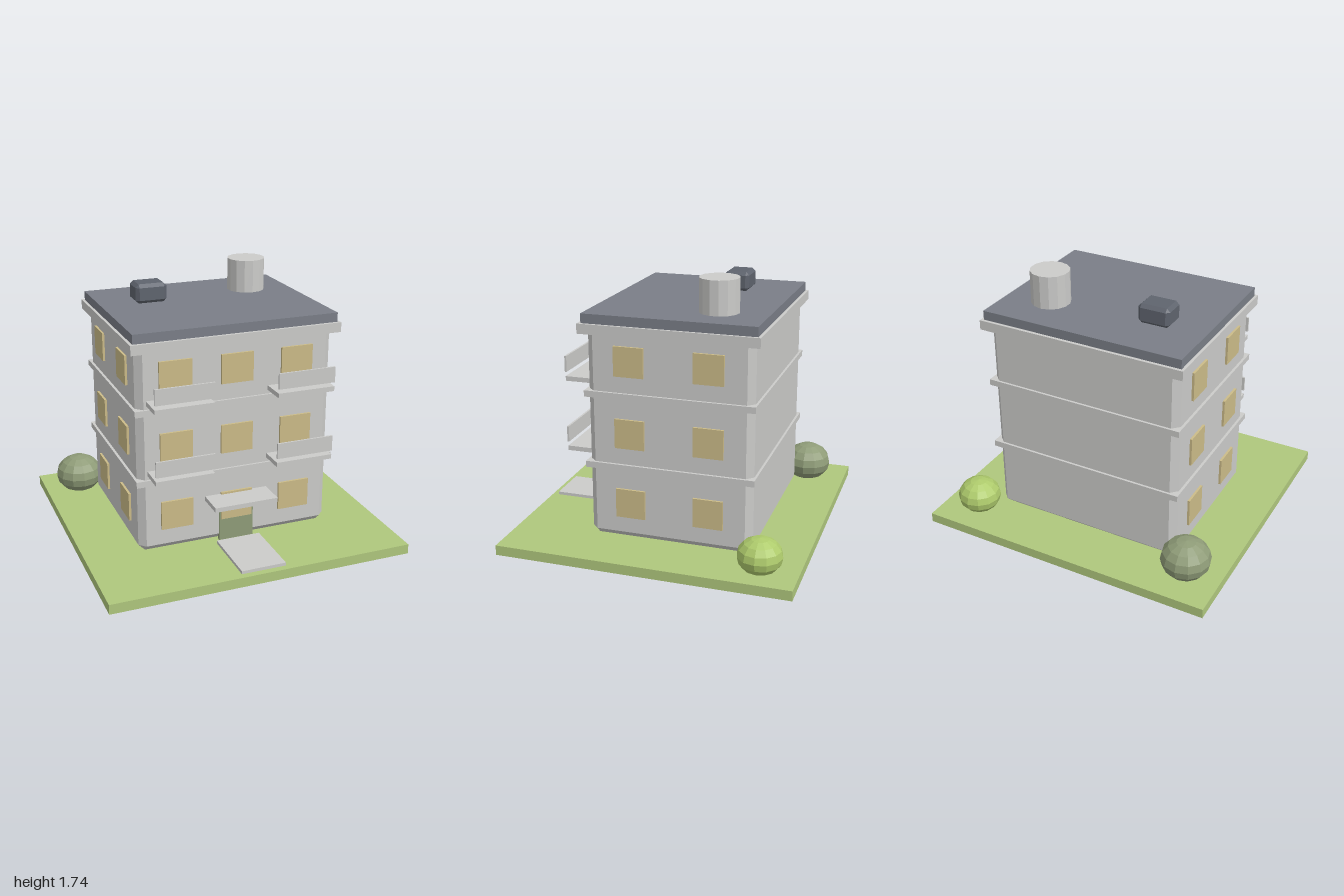
import * as THREE from 'three';
import { ConvexGeometry } from 'three/addons/geometries/ConvexGeometry.js';

const mat = (name, color) => {
  const m = new THREE.MeshStandardMaterial({ color, flatShading: true });
  m.name = name;
  return m;
};

// box with every edge cut at 45 degrees
function chamferBox(w, h, d, c) {
  const pts = [];
  const [x, y, z] = [w / 2, h / 2, d / 2];
  for (const i of [-1, 1]) for (const j of [-1, 1]) for (const k of [-1, 1]) {
    pts.push(new THREE.Vector3(i * x, j * (y - c), k * (z - c)));
    pts.push(new THREE.Vector3(i * (x - c), j * y, k * (z - c)));
    pts.push(new THREE.Vector3(i * (x - c), j * (y - c), k * z));
  }
  return new ConvexGeometry(pts);
}

export function createModel() {
  const wall = mat('concrete', 0xcbcbc9);
  const roofGrey = mat('roofGrey', 0x7a7e87);
  const ventGrey = mat('ventGrey', 0x5f646e);
  const glass = mat('windowTan', 0xcbbb88);
  const grass = mat('grass', 0xafc77d);
  const sage = mat('sage', 0x8f9c78);
  const lime = mat('lime', 0xaecb6c);

  const group = new THREE.Group();
  group.name = 'apartmentBlock';
  const add = (name, geo, m, x, y, z) => {
    const mesh = new THREE.Mesh(geo, m);
    mesh.name = name;
    mesh.position.set(x, y, z);
    group.add(mesh);
    return mesh;
  };
  // box given by its extents on each axis
  const box = (name, m, x0, x1, y0, y1, z0, z1) =>
    add(name, new THREE.BoxGeometry(x1 - x0, y1 - y0, z1 - z0), m,
      (x0 + x1) / 2, (y0 + y1) / 2, (z0 + z1) / 2);

  const cz = -0.085; // building centre in z
  const floor = 0.463; // storey height

  // ground and path
  box('lawn', grass, -1, 1, 0, 0.065, -0.95, 0.95);
  box('path', wall, -0.148, 0.148, 0.06, 0.085, 0.49, 0.908);

  // building body, floor bands, cornice and roof
  add('body', chamferBox(1.3, 1.39, 1.06, 0.043), wall, 0, 0.76, cz);
  for (const y of [0.53, 0.995])
    box('floorBand', wall, -0.667, 0.667, y, y + 0.04, cz - 0.545, cz + 0.545);
  box('cornice', wall, -0.69, 0.69, 1.397, 1.46, cz - 0.57, cz + 0.57);
  box('roof', roofGrey, -0.672, 0.672, 1.46, 1.52, cz - 0.55, cz + 0.55);

  // windows on the front and both sides
  for (let f = 0; f < 3; f++) {
    const y = 0.215 + f * floor;
    for (const x of [-0.403, 0, 0.403])
      box('frontWindow', glass, x - 0.106, x + 0.106, y, y + 0.19, 0.43, 0.46);
    for (const s of [-1, 1]) for (const z of [0.168, -0.337]) {
      const xs = [s * 0.635, s * 0.665].sort((a, b) => a - b);
      box('sideWindow', glass, xs[0], xs[1], y, y + 0.19, z - 0.096, z + 0.096);
    }
  }

  // entrance
  box('door', sage, -0.117, 0.117, 0.065, 0.342, 0.43, 0.455);
  box('canopy', wall, -0.212, 0.212, 0.362, 0.392, 0.43, 0.63);

  // balconies with separate front panels
  for (const s of [-1, 1]) for (let f = 0; f < 2; f++) {
    const x = s * 0.4, y = 0.597 + f * floor;
    box('balconySlab', wall, x - 0.191, x + 0.191, y, y + 0.03, 0.43, 0.613);
    box('balconyPanel', wall, x - 0.191, x + 0.191, y + 0.058, y + 0.16, 0.605, 0.618);
  }

  // rooftop tank and vent
  add('waterTank', new THREE.CylinderGeometry(0.126, 0.126, 0.215, 14), wall, 0.377, 1.6275, -0.32);
  add('roofVent', chamferBox(0.21, 0.128, 0.168, 0.022), ventGrey, -0.34, 1.582, -0.256);

  // bushes
  const bush = (m, r, x, y, z) => {
    const b = add('bush', new THREE.SphereGeometry(r, 12, 8), m, x, y, z);
    b.scale.y = 0.82;
  };
  bush(sage, 0.162, -0.76, 0.172, -0.68);
  bush(lime, 0.143, 0.775, 0.145, -0.7);

  return group;
}
